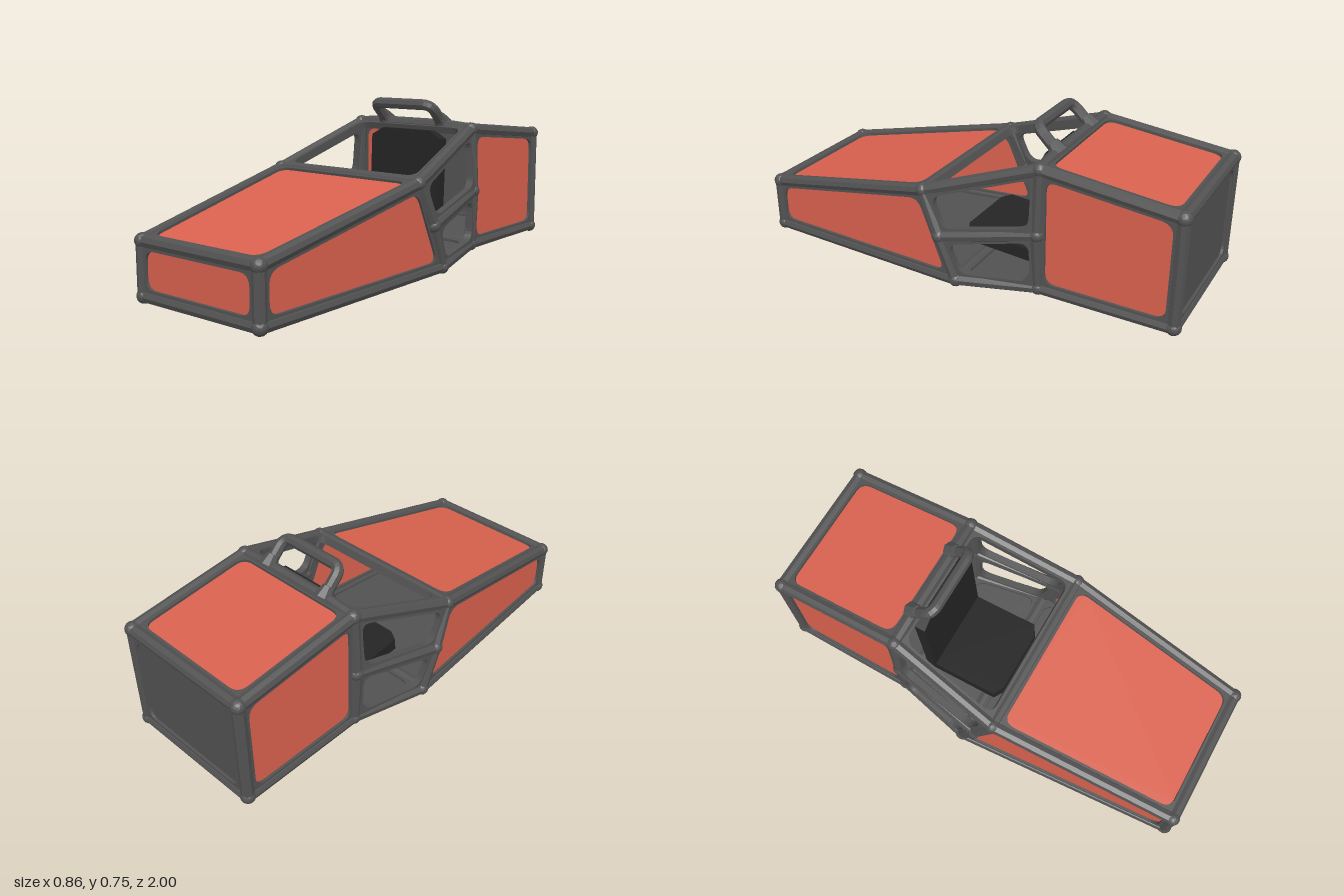
import * as THREE from 'three';

const V = (x, y, z) => new THREE.Vector3(x, y, z);

export function createModel() {
  const model = new THREE.Group();
  const frameGrey = new THREE.MeshStandardMaterial({ color: 0x525252 });
  const panelRed = new THREE.MeshStandardMaterial({ color: 0xd9614e });
  const seatBlack = new THREE.MeshStandardMaterial({ color: 0x242424 });
  frameGrey.name = 'frameGrey';
  panelRed.name = 'panelRed';
  seatBlack.name = 'seatBlack';

  const add = (geo, mat, name, parent = model) => {
    const g = geo.index ? geo.toNonIndexed() : geo;
    g.computeVertexNormals(); // faceted look
    const m = new THREE.Mesh(g, mat);
    m.name = name;
    parent.add(m);
    return m;
  };

  // Frame nodes on the left side (+x); R() mirrors them
  const N = {
    frontLow: V(0.315, 0.032, 0.968), frontTop: V(0.315, 0.252, 0.968),
    cowl: V(0.382, 0.436, 0.12), waist: V(0.4, 0.25, 0.035), sill: V(0.395, 0.06, -0.04),
    waistRear: V(0.33, 0.335, -0.385), hoopLow: V(0.318, 0.086, -0.39), hoopTop: V(0.315, 0.615, -0.385),
    rearLow: V(0.312, 0.08, -0.968), rearTop: V(0.312, 0.553, -0.968),
  };
  const R = (p) => V(-p.x, p.y, p.z);
  const UP = V(0, 1, 0);

  const frame = new THREE.Group();
  frame.name = 'tubularFrame';
  model.add(frame);

  const strut = (a, b, name, r = 0.027) => {
    const d = b.clone().sub(a);
    const m = add(new THREE.CylinderGeometry(r, r, d.length(), 8, 1, true), frameGrey, name, frame);
    m.position.copy(a).addScaledVector(d, 0.5);
    m.quaternion.setFromUnitVectors(UP, d.normalize());
  };

  // Long rails and uprights, both sides
  const rails = [
    ['frontLow', 'frontTop'], ['frontTop', 'cowl'], ['frontLow', 'sill'], ['cowl', 'waist'], ['waist', 'sill'],
    ['waist', 'waistRear'], ['sill', 'hoopLow'], ['cowl', 'hoopTop'], ['hoopLow', 'waistRear'],
    ['waistRear', 'hoopTop'], ['hoopTop', 'rearTop'], ['hoopLow', 'rearLow'], ['rearLow', 'rearTop'],
  ];
  for (const [a, b] of rails) {
    strut(N[a], N[b], 'sideRail');
    strut(R(N[a]), R(N[b]), 'sideRail');
  }
  // Cross members
  for (const k of ['frontLow', 'frontTop', 'cowl', 'sill', 'hoopLow', 'rearLow', 'rearTop'])
    strut(N[k], R(N[k]), 'crossMember');
  // Bowed roof bar
  const arch = [N.hoopTop, V(0.18, 0.625, -0.385), V(-0.18, 0.625, -0.385), R(N.hoopTop)];
  for (let i = 0; i < 3; i++) strut(arch[i], arch[i + 1], 'roofBar');
  // Joints
  for (const k in N)
    for (const p of [N[k], R(N[k])])
      add(new THREE.IcosahedronGeometry(0.032, 2), frameGrey, 'joint', frame).position.copy(p);

  // Closed outline with rounded corners
  const rounded = (path, pts, r) => {
    const n = pts.length;
    pts.forEach((p, i) => {
      const a = pts[(i + n - 1) % n], b = pts[(i + 1) % n];
      const s = p.clone().add(a.clone().sub(p).setLength(r));
      const e = p.clone().add(b.clone().sub(p).setLength(r));
      if (i === 0) path.moveTo(s.x, s.y); else path.lineTo(s.x, s.y);
      path.quadraticCurveTo(p.x, p.y, e.x, e.y);
    });
    path.closePath();
    return path;
  };
  // Offset a convex counter-clockwise polygon inward
  const inset = (pts, d) => pts.map((p, i) => {
    const n = pts.length;
    const u = p.clone().sub(pts[(i + n - 1) % n]).normalize();
    const v = pts[(i + 1) % n].clone().sub(p).normalize();
    const k = d / (u.x * v.y - u.y * v.x);
    return p.clone().addScaledVector(v, k).addScaledVector(u, -k);
  });

  // One bay: a gusseted rim with a rounded opening, and an optional thin panel
  const bay = (p, mat, name) => {
    const c = p.reduce((s, q) => s.add(q), V(0, 0, 0)).multiplyScalar(1 / p.length);
    const n = p[2].clone().sub(p[0]).cross(p[3].clone().sub(p[1])).normalize();
    const e1 = p[1].clone().sub(p[0]);
    e1.addScaledVector(n, -e1.dot(n)).normalize();
    const e2 = n.clone().cross(e1);
    const flat = p.map((q) => {
      const d = q.clone().sub(c);
      return new THREE.Vector2(d.dot(e1), d.dot(e2));
    });
    const g = new THREE.Group();
    g.name = name;
    g.matrix.makeBasis(e1, e2, n).setPosition(c);
    g.matrix.decompose(g.position, g.quaternion, g.scale);
    model.add(g);
    const opening = inset(flat, 0.032);
    const rim = new THREE.Shape(flat);
    rim.holes.push(rounded(new THREE.Path(), opening, 0.05));
    const rimGeo = new THREE.ExtrudeGeometry(rim, { depth: 0.032, bevelEnabled: false, curveSegments: 6 });
    add(rimGeo.translate(0, 0, -0.016), frameGrey, name + 'Rim', g);
    if (mat) {
      const sheet = rounded(new THREE.Shape(), inset(flat, 0.025), 0.04);
      const geo = new THREE.ExtrudeGeometry(sheet, { depth: 0.008, bevelEnabled: false, curveSegments: 6 });
      add(geo.translate(0, 0, -0.004), mat, name + 'Sheet', g);
    }
  };

  // Side bays, mirrored
  const sides = [
    ['frontSidePanel', panelRed, ['frontLow', 'sill', 'cowl', 'frontTop']],
    ['rearSidePanel', panelRed, ['hoopLow', 'rearLow', 'rearTop', 'hoopTop']],
    ['upperSideOpening', null, ['waist', 'waistRear', 'hoopTop', 'cowl']],
    ['lowerSideOpening', null, ['sill', 'hoopLow', 'waistRear', 'waist']],
  ];
  for (const [name, mat, keys] of sides) {
    const pts = keys.map((k) => N[k]);
    bay(pts, mat, name);
    bay(pts.map(R).reverse(), mat, name);
  }
  // Bays spanning the width
  const spans = [
    ['nosePanel', panelRed, 'frontLow', 'frontTop'],
    ['hoodPanel', panelRed, 'frontTop', 'cowl'],
    ['windscreenOpening', null, 'cowl', 'hoopTop'],
    ['rearDeckPanel', panelRed, 'hoopTop', 'rearTop'],
    ['backPanel', frameGrey, 'rearTop', 'rearLow'],
    ['rearFloor', frameGrey, 'rearLow', 'hoopLow'],
    ['cockpitFloor', frameGrey, 'hoopLow', 'sill'],
    ['frontFloor', frameGrey, 'sill', 'frontLow'],
  ];
  for (const [name, mat, a, b] of spans)
    bay([R(N[a]), N[a], N[b], R(N[b])], mat, name);

  // Handle hoop leaning forward over the roof bar
  const h = new THREE.CurvePath();
  const foot = V(0.16, 0.625, -0.39), l1 = V(0.16, 0.69, -0.325), top = V(0.16, 0.722, -0.288), l2 = V(0.12, 0.722, -0.288);
  h.add(new THREE.LineCurve3(foot, l1));
  h.add(new THREE.QuadraticBezierCurve3(l1, top, l2));
  h.add(new THREE.LineCurve3(l2, R(l2)));
  h.add(new THREE.QuadraticBezierCurve3(R(l2), R(top), R(l1)));
  h.add(new THREE.LineCurve3(R(l1), R(foot)));
  add(new THREE.TubeGeometry(h, 48, 0.025, 8, false), frameGrey, 'handle');
  for (const s of [-1, 1]) {
    const f = add(new THREE.CylinderGeometry(0.025, 0.042, 0.05, 8), frameGrey, 'handleFoot');
    f.position.set(s * 0.16, 0.65, -0.375);
    f.rotation.x = 0.7;
  }

  // Seat: two chamfered slabs
  const slab = (len, cx, cy, depth) => new THREE.ExtrudeGeometry(new THREE.Shape([
    [-0.195, 0], [0.195, 0], [0.195, len - cy], [0.195 - cx, len], [cx - 0.195, len], [-0.195, len - cy],
  ].map(([x, y]) => new THREE.Vector2(x, y))), { depth, bevelEnabled: false });
  const seat = new THREE.Group();
  seat.name = 'seat';
  model.add(seat);
  const back = add(slab(0.485, 0.06, 0.035, 0.05), seatBlack, 'seatBack', seat);
  back.position.set(0, 0.115, -0.345);
  back.rotation.x = -0.045;
  const cushion = add(slab(0.375, 0.05, 0.03, 0.055), seatBlack, 'seatCushion', seat);
  cushion.position.set(0, 0.165, -0.335);
  cushion.rotation.x = Math.PI / 2 - 0.07;

  return model;
}
